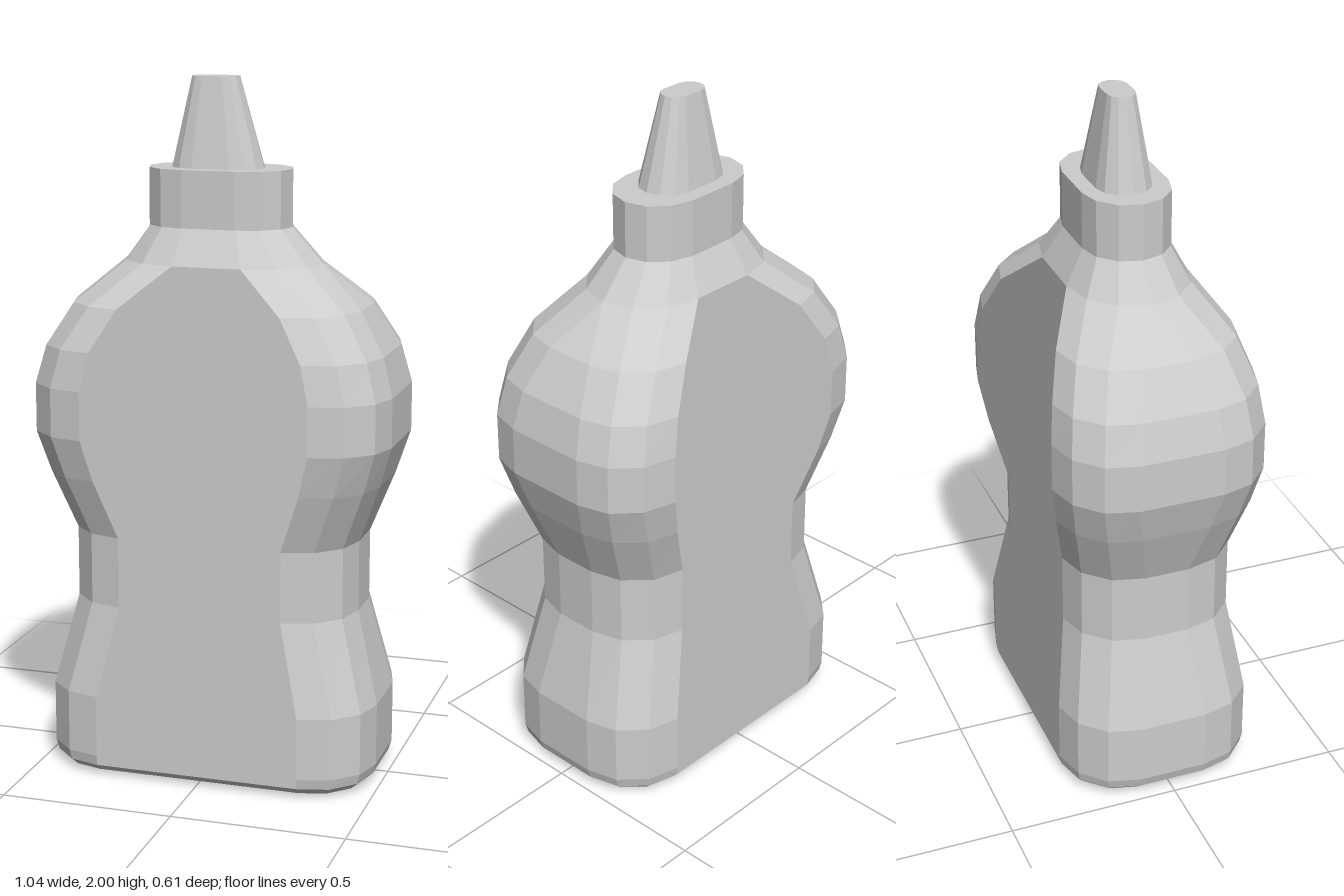
import * as THREE from 'three';

const FRONT = 4, BACK = 13; // ring segments that carry the two flat panels

// Rounded-rectangle cross-section: half width X, half depth Z,
// flat front half width I, flat side half depth S, centre offset cx.
function ring([y, X, Z, I, S, cx = 0]) {
  const corner = [0, 30, 60, 90].map((deg) => {
    const t = THREE.MathUtils.degToRad(deg);
    return [I + (X - I) * Math.cos(t), S + (Z - S) * Math.sin(t)];
  });
  const quarter = [[X, 0], ...corner];
  const half = [...quarter, ...quarter.map(([x, z]) => [-x, z]).reverse()];
  const back = half.slice(1, -1).map(([x, z]) => [x, -z]).reverse();
  return [...half, ...back].map(([x, z]) => new THREE.Vector3(x + cx, y, z));
}

// Faceted geometry from a list of triangle corners
function facets(points, normalZ) {
  const geo = new THREE.BufferGeometry().setFromPoints(points);
  geo.computeVertexNormals();
  if (normalZ) {
    const n = geo.attributes.normal;
    for (let i = 0; i < n.count; i++) n.setXYZ(i, 0, 0, normalZ);
  }
  return geo;
}

// Skin between rings; `use` picks which segments to build
function skin(rings, use) {
  const out = [];
  for (let r = 0; r < rings.length - 1; r++) {
    const lo = rings[r], hi = rings[r + 1], n = lo.length;
    for (let i = 0; i < n; i++) {
      if (!use(r, i)) continue;
      const j = (i + 1) % n;
      out.push(lo[j], lo[i], hi[i], lo[j], hi[i], hi[j]);
    }
  }
  return out;
}

// Flat lid over a ring, facing up or down
function lid(loop, up) {
  const c = loop.reduce((s, p) => s.add(p), new THREE.Vector3()).divideScalar(loop.length);
  return loop.flatMap((a, i) => {
    const b = loop[(i + 1) % loop.length];
    return up ? [c, b, a] : [c, a, b];
  });
}

export function createModel() {
  const group = new THREE.Group();
  const plastic = new THREE.MeshStandardMaterial({ color: 0xcccccc });
  plastic.name = 'greyPlastic';
  const add = (name, geo) => {
    const mesh = new THREE.Mesh(geo, plastic);
    mesh.name = name;
    group.add(mesh);
  };

  // Bottle body: base, waist, bulge and shoulders
  const body = [
    [0, 0.42, 0.225, 0.3, 0.1],
    [0.01, 0.455, 0.258, 0.3, 0.1],
    [0.03, 0.478, 0.279, 0.3, 0.1],
    [0.06, 0.487, 0.285, 0.3, 0.1],
    [0.24, 0.487, 0.285, 0.3, 0.1],
    [0.505, 0.42, 0.247, 0.24, 0.065],
    [0.71, 0.42, 0.247, 0.24, 0.065],
    [0.88, 0.485, 0.285, 0.3, 0.1],
    [1.0, 0.522, 0.305, 0.33, 0.123],
    [1.14, 0.522, 0.305, 0.33, 0.123],
    [1.25, 0.492, 0.292, 0.305, 0.11],
    [1.37, 0.42, 0.255, 0.235, 0.075],
    [1.485, 0.29, 0.175, 0.1, 0],
    [1.585, 0.208, 0.122, 0.078, 0, -0.008],
  ].map(ring);
  const panelRow = (r) => r >= 2 && r < 12;
  const isPanel = (r, i) => panelRow(r) && (i === FRONT || i === BACK);
  add('bottleBody', facets([...skin(body, (r, i) => !isPanel(r, i)), ...lid(body[0], false)]));

  // Smooth label panels on the front and back
  add('frontPanel', facets(skin(body, (r, i) => panelRow(r) && i === FRONT), 1));
  add('backPanel', facets(skin(body, (r, i) => panelRow(r) && i === BACK), -1));

  // Closed collar and tapered spout
  const closed = (rows) => {
    const rings = rows.map(ring);
    return facets([
      ...skin(rings, () => true),
      ...lid(rings[0], false),
      ...lid(rings[rings.length - 1], true),
    ]);
  };
  add('capCollar', closed([
    [1.585, 0.21, 0.125, 0.078, 0, -0.01],
    [1.747, 0.21, 0.125, 0.078, 0, -0.01],
  ]));
  add('spout', closed([
    [1.745, 0.135, 0.08, 0.055, 0, -0.018],
    [2.0, 0.069, 0.04, 0.03, 0, -0.025],
  ]));

  return group;
}
